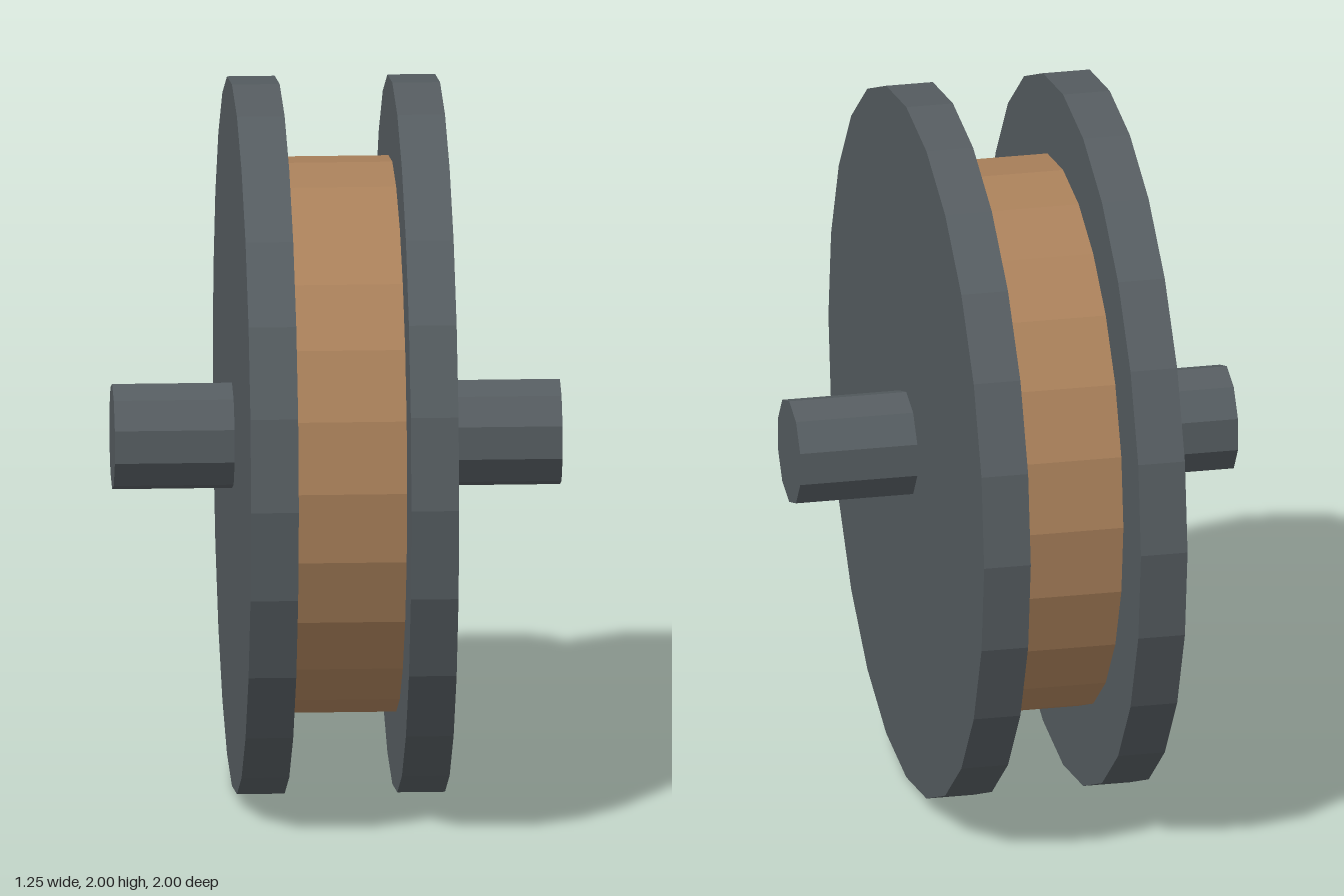
import * as THREE from 'three';

const AXIS_Y = 1;

// Faceted disc lying along the x axis, with a corner pointing straight up
function disc(name, radius, length, sides, x, material) {
  const geometry = new THREE.CylinderGeometry(radius, radius, length, sides, 1, false, Math.PI / 2);
  geometry.rotateZ(Math.PI / 2);
  const mesh = new THREE.Mesh(geometry, material);
  mesh.name = name;
  mesh.position.set(x, AXIS_Y, 0);
  return mesh;
}

export function createModel() {
  const model = new THREE.Group();
  model.name = 'flangedWheel';

  const metal = new THREE.MeshStandardMaterial({ color: 0x555c60, flatShading: true });
  const wood = new THREE.MeshStandardMaterial({ color: 0xa9805a, flatShading: true });

  // Wooden core between the two flanges
  model.add(disc('core', 0.775, 0.314, 24, 0, wood));

  // Metal flanges and the axle stubs outside them
  for (const [side, s] of [['left', 1], ['right', -1]]) {
    model.add(disc(`${side}Flange`, 1, 0.133, 24, s * 0.2235, metal));
    model.add(disc(`${side}Axle`, 0.15, 0.335, 10, s * 0.4565, metal));
  }

  return model;
}
